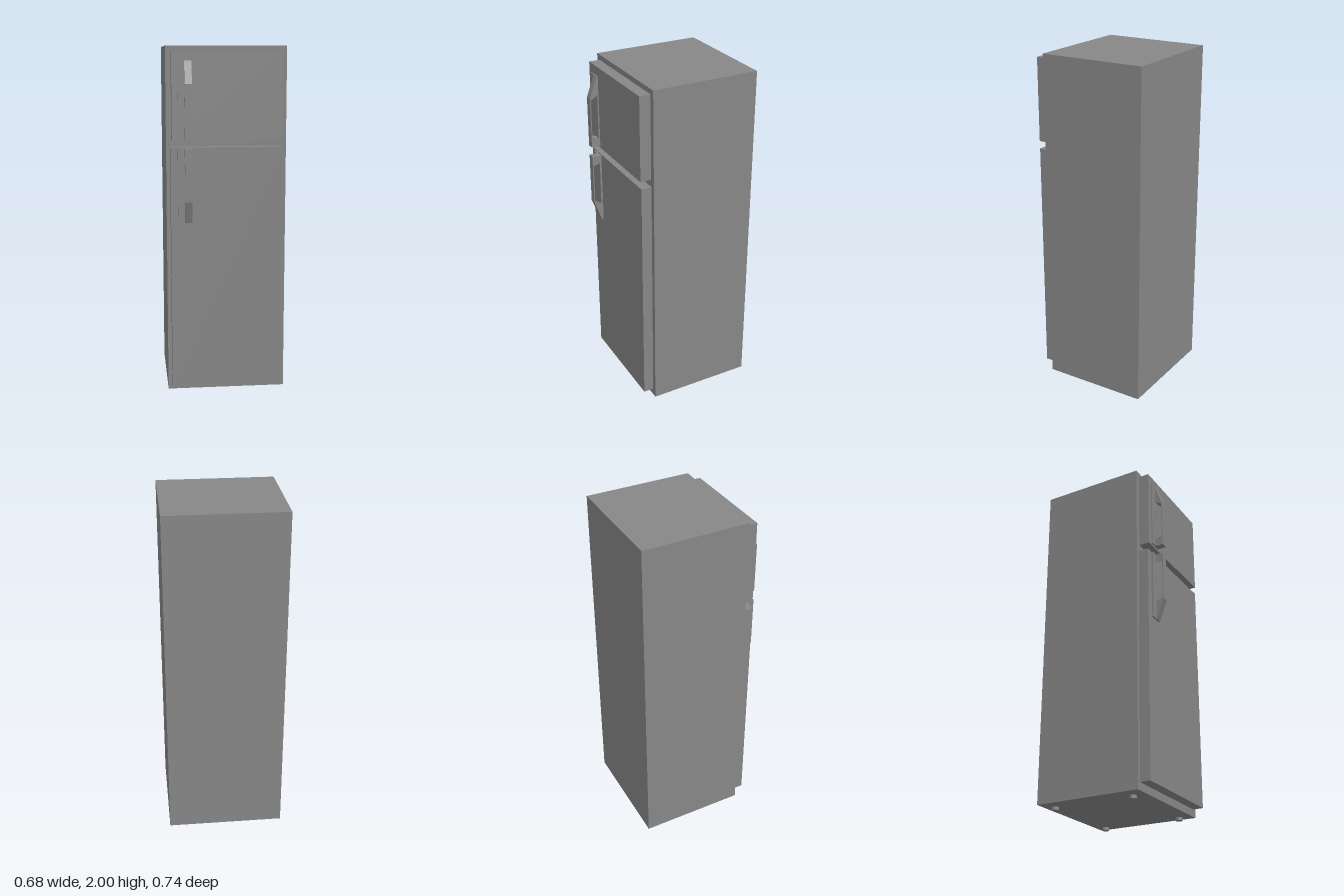
import * as THREE from 'three';

const material = new THREE.MeshStandardMaterial({ color: 0x878787, flatShading: true });

// Box given by its min and max corners
function box(name, [x0, y0, z0], [x1, y1, z1]) {
  const geometry = new THREE.BoxGeometry(x1 - x0, y1 - y0, z1 - z0);
  geometry.translate((x0 + x1) / 2, (y0 + y1) / 2, (z0 + z1) / 2);
  const mesh = new THREE.Mesh(geometry, material);
  mesh.name = name;
  return mesh;
}

// Backing plate with a looped grip; base is the square end, dir the way it tapers
function handle(name, base, dir) {
  const group = new THREE.Group();
  group.name = name;
  const end = base + dir * 0.42;
  group.add(box('handlePlate', [-0.278, Math.min(base, end), 0.31], [-0.2, Math.max(base, end), 0.325]));

  // Side profile as (z, distance from base)
  const points = (list) => list.map(([z, d]) => new THREE.Vector2(z, base + dir * d));
  const profile = new THREE.Shape(points([[0.32, 0], [0.371, 0], [0.371, 0.295], [0.325, 0.42], [0.32, 0.42]]));
  profile.holes.push(new THREE.Path(points([[0.326, 0.05], [0.365, 0.06], [0.365, 0.285], [0.326, 0.31]])));
  const geometry = new THREE.ExtrudeGeometry(profile, { depth: 0.04, bevelEnabled: false });
  geometry.rotateY(-Math.PI / 2); // profile x -> +z, depth -> -x
  geometry.translate(-0.2, 0, 0);
  const grip = new THREE.Mesh(geometry, material);
  grip.name = 'handleGrip';
  group.add(grip);
  return group;
}

export function createModel() {
  const model = new THREE.Group();
  model.name = 'refrigerator';

  // Cabinet and doors
  model.add(box('cabinet', [-0.34, 0.018, -0.371], [0.34, 2, 0.254]));
  model.add(box('freezerDoor', [-0.31, 1.487, 0.254], [0.309, 1.97, 0.318]));
  model.add(box('fridgeDoor', [-0.318, 0.061, 0.254], [0.312, 1.444, 0.315]));

  // Mirrored handles
  model.add(handle('freezerHandle', 1.498, 1));
  model.add(handle('fridgeHandle', 1.439, -1));

  // Feet
  for (const x of [-0.25, 0.288]) {
    for (const z of [0.175, -0.312]) {
      const foot = new THREE.Mesh(new THREE.CylinderGeometry(0.02, 0.02, 0.02, 16), material);
      foot.name = 'foot';
      foot.position.set(x, 0.01, z);
      model.add(foot);
    }
  }
  return model;
}
